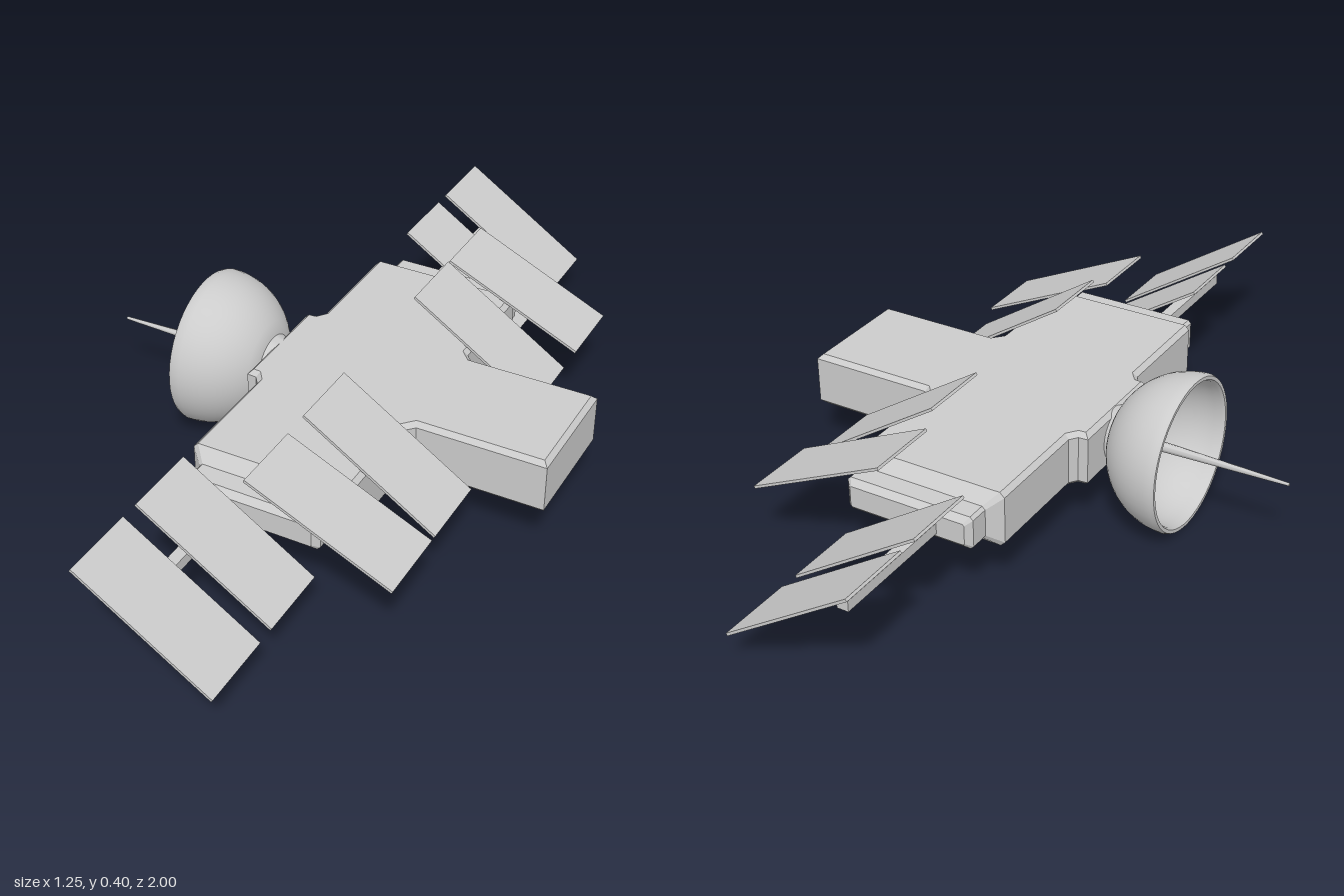
import * as THREE from 'three';
import { toCreasedNormals } from 'three/addons/utils/BufferGeometryUtils.js';

const MID = 0.2025; // height of the hull's centre line
const HALF = 0.0725; // half the hull's thickness
const BEVEL = 0.012;

const grey = new THREE.MeshStandardMaterial({ color: 0xcccccc });

function add(parent, name, geometry, x = 0, y = 0, z = 0) {
  const mesh = new THREE.Mesh(geometry, grey);
  mesh.name = name;
  mesh.position.set(x, y, z);
  parent.add(mesh);
  return mesh;
}

// Rectangle with cut corners, counter-clockwise seen from +z
function section({ x0, x1, h, c, z }) {
  return [
    [x0 + c, -h], [x1 - c, -h], [x1, -h + c], [x1, h - c],
    [x1 - c, h], [x0 + c, h], [x0, h - c], [x0, -h + c],
  ].map(([x, y]) => new THREE.Vector3(x, y, z));
}

// Flat-faced skin over sections running along +z, closed at the far end
function loft(specs) {
  const rings = specs.map(section);
  const pts = [];
  for (let s = 0; s < rings.length - 1; s++) {
    const a = rings[s], b = rings[s + 1];
    for (let i = 0; i < 8; i++) {
      const j = (i + 1) % 8;
      pts.push(a[i], a[j], b[j], a[i], b[j], b[i]);
    }
  }
  const end = rings[rings.length - 1];
  for (let i = 1; i < 7; i++) pts.push(end[0], end[i], end[i + 1]);
  const g = new THREE.BufferGeometry().setFromPoints(pts);
  g.computeVertexNormals();
  return g;
}

// Cross-shaped hull plate with small fillets in the inner corners
function hullGeometry() {
  const half = [
    [-0.17, 0.15], [-0.145, 0.152], [-0.13, 0.172], [-0.13, 0.46],
    [0.27, 0.46], [0.27, 0.177], [0.29, 0.155], [0.62, 0.155],
  ];
  const outline = [...half, ...half.map(([x, z]) => [x, -z]).reverse()];
  const shape = new THREE.Shape(outline.map(([x, z]) => new THREE.Vector2(x, z)));
  const g = new THREE.ExtrudeGeometry(shape, {
    depth: 2 * (HALF - BEVEL), bevelEnabled: true, bevelSegments: 1,
    bevelSize: BEVEL, bevelThickness: BEVEL, bevelOffset: -BEVEL,
  });
  g.translate(0, 0, -(HALF - BEVEL));
  return g.rotateX(-Math.PI / 2);
}

// Open bowl with a flared foot; profile is [radius, distance along -x]
function dishGeometry() {
  const profile = [[0.001, 0.15], [0.072, 0.15], [0.07, 0.172], [0.075, 0.183]];
  for (let i = 0; i <= 12; i++) {
    const a = THREE.MathUtils.lerp(0.48, Math.PI / 2, i / 12);
    profile.push([0.2 * Math.sin(a), 0.36 - 0.2 * Math.cos(a) + 0.005 * Math.cos(a)]);
  }
  profile.push([0.196, 0.37], [0.187, 0.37]);
  for (let i = 0; i <= 14; i++) {
    const a = (Math.PI / 2) * (1 - i / 14);
    profile.push([0.182 * Math.sin(a) + 0.0005, 0.362 - 0.175 * Math.cos(a)]);
  }
  const g = new THREE.LatheGeometry(profile.map(([r, d]) => new THREE.Vector2(r, d)), 48);
  return toCreasedNormals(g.rotateZ(Math.PI / 2), 0.6);
}

// Thin panel between two points of the x-y plane, spanning z0 to z1
function addPanel(parent, name, [xa, ya], [xb, yb], z0, z1) {
  const length = Math.hypot(xb - xa, yb - ya);
  const panel = add(parent, name, new THREE.BoxGeometry(length, 0.007, z1 - z0),
    (xa + xb) / 2, (ya + yb) / 2, (z0 + z1) / 2);
  panel.rotation.z = Math.atan2(yb - ya, xb - xa);
}

export function createModel() {
  const model = new THREE.Group();
  model.name = 'spaceStation';

  add(model, 'hull', hullGeometry(), 0, MID, 0);

  // Chamfered hull ends with a smaller stepped block
  const endGeometry = loft([
    { x0: -0.13, x1: 0.27, h: HALF, c: BEVEL, z: 0.448 },
    { x0: -0.13, x1: 0.27, h: HALF, c: BEVEL, z: 0.46 },
    { x0: -0.097, x1: 0.245, h: 0.043, c: 0.008, z: 0.49 },
    { x0: -0.097, x1: 0.245, h: 0.043, c: 0.008, z: 0.54 },
    { x0: -0.082, x1: 0.23, h: 0.028, c: 0.004, z: 0.555 },
  ]);
  add(model, 'hullEndFront', endGeometry, 0, MID, 0);
  add(model, 'hullEndBack', endGeometry, 0, MID, 0).rotation.x = Math.PI;

  // Dish and its tapered antenna
  add(model, 'dish', dishGeometry(), 0, MID, 0);
  const antenna = new THREE.CylinderGeometry(0.004, 0.016, 0.445, 8).rotateZ(Math.PI / 2);
  add(model, 'antenna', antenna, -0.4025, MID, 0);

  // Solar panels and their booms, mirrored front to back
  for (const s of [1, -1]) {
    const side = new THREE.Group();
    side.name = s > 0 ? 'frontPanels' : 'backPanels';
    const span = (z0, z1) => (s > 0 ? [z0, z1] : [-z1, -z0]);
    add(side, 'boom', new THREE.BoxGeometry(0.03, 0.028, 0.35), 0.008, 0.195, s * 0.715);
    addPanel(side, 'outerPanel', [-0.091, 0.315], [0.242, 0.097], ...span(0.805, 1));
    addPanel(side, 'middlePanel', [-0.091, 0.315], [0.242, 0.097], ...span(0.565, 0.757));
    addPanel(side, 'upperPanelA', [0.099, 0.354], [0.462, 0.186], ...span(0.425, 0.618));
    addPanel(side, 'upperPanelB', [0.114, 0.38], [0.449, 0.16], ...span(0.187, 0.38));
    model.add(side);
  }
  return model;
}
